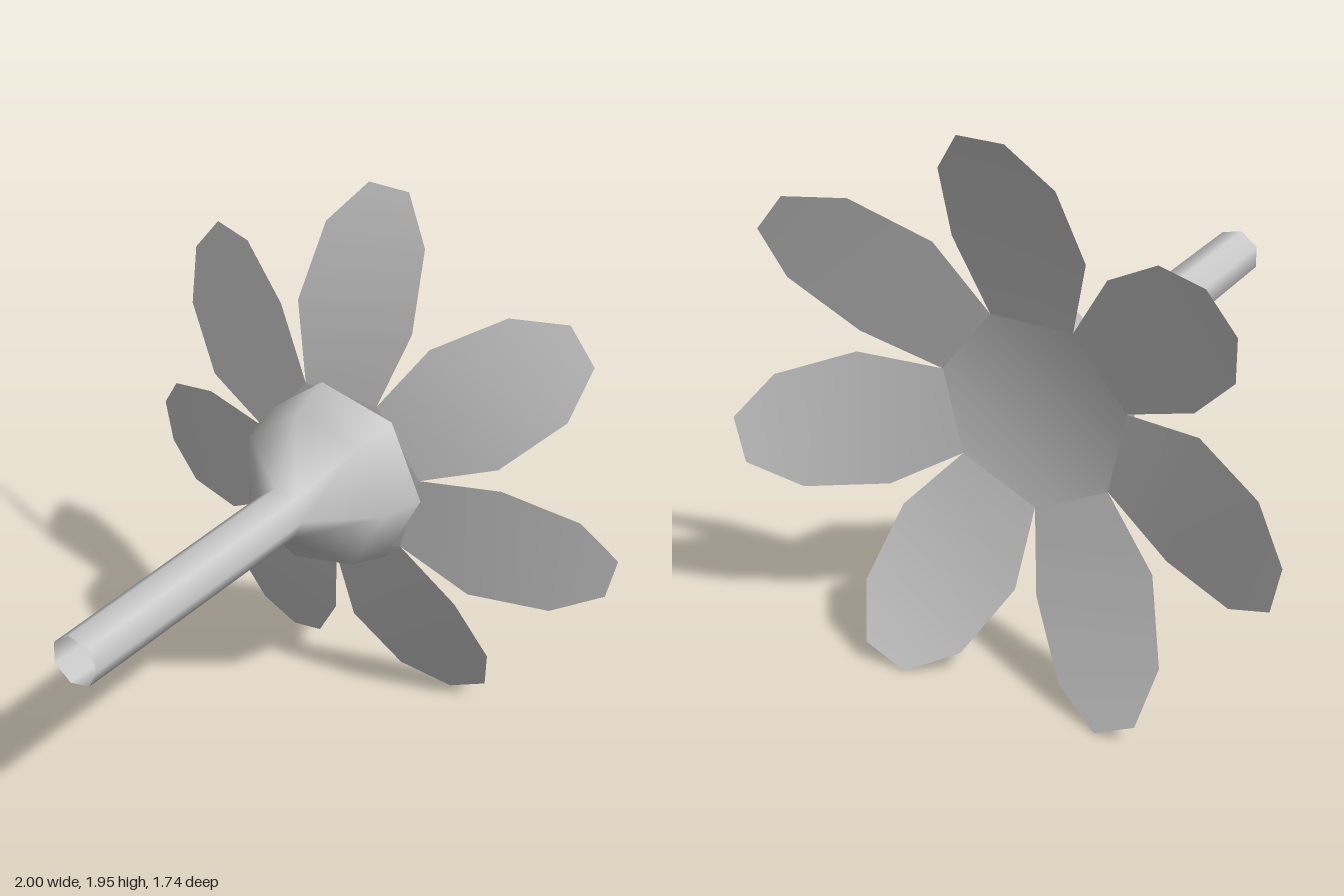
import * as THREE from 'three';

const SIDES = 7;
const STEP = (Math.PI * 2) / SIDES;
const CENTER_Y = 0.943;
const DISC_RADIUS = 0.347;
const DISC_Z = -0.605;

// Petal pointing up: rows of [radius, half width, z]
function petalGeometry() {
  const rows = [
    [DISC_RADIUS * Math.cos(STEP / 2), DISC_RADIUS * Math.sin(STEP / 2), DISC_Z],
    [0.588, 0.238, -0.675],
    [0.857, 0.204, -0.79],
    [1.007, 0.082, -0.87],
  ];
  const positions = [];
  const index = [];
  rows.forEach(([r, w, z], i) => {
    positions.push(-w, r, z, w, r, z);
    if (i < rows.length - 1) {
      const a = 2 * i;
      index.push(a, a + 3, a + 1, a, a + 2, a + 3);
    }
  });
  const g = new THREE.BufferGeometry();
  g.setAttribute('position', new THREE.Float32BufferAttribute(positions, 3));
  g.setIndex(index);
  g.computeVertexNormals();
  return g;
}

// Flat seven-sided disc whose normals lean inwards to blend with the petals
function discGeometry() {
  const g = new THREE.CircleGeometry(DISC_RADIUS, SIDES, Math.PI / 2 + STEP / 2);
  g.rotateY(Math.PI);
  const p = g.attributes.position;
  const n = new THREE.Vector3();
  for (let i = 0; i < p.count; i++) {
    n.set(-p.getX(i) * 0.5, -p.getY(i) * 0.5, -1).normalize();
    g.attributes.normal.setXYZ(i, n.x, n.y, n.z);
  }
  return g;
}

export function createModel() {
  const group = new THREE.Group();
  group.name = 'flower';
  const material = new THREE.MeshStandardMaterial({ color: 0xcccccc, side: THREE.DoubleSide });
  const add = (name, geometry, z = 0) => {
    const mesh = new THREE.Mesh(geometry, material);
    mesh.name = name;
    mesh.position.set(0, CENTER_Y, z);
    group.add(mesh);
    return mesh;
  };

  // Open hollow stem flaring into the cup behind the petals, profile of [radius, z]
  const profile = [[0.35, -0.6], [0.302, -0.43], [0.097, -0.24], [0.092, 0.87]];
  const stem = new THREE.LatheGeometry(
    profile.map(([r, z]) => new THREE.Vector2(r, z)), SIDES, Math.PI / 2);
  stem.rotateX(Math.PI / 2);
  add('stemAndCup', stem);

  // Flower centre
  add('centerDisc', discGeometry(), DISC_Z);

  // Ring of petals
  const petal = petalGeometry();
  for (let i = 0; i < SIDES; i++) {
    add(`petal${i + 1}`, petal).rotation.z = i * STEP;
  }
  return group;
}
